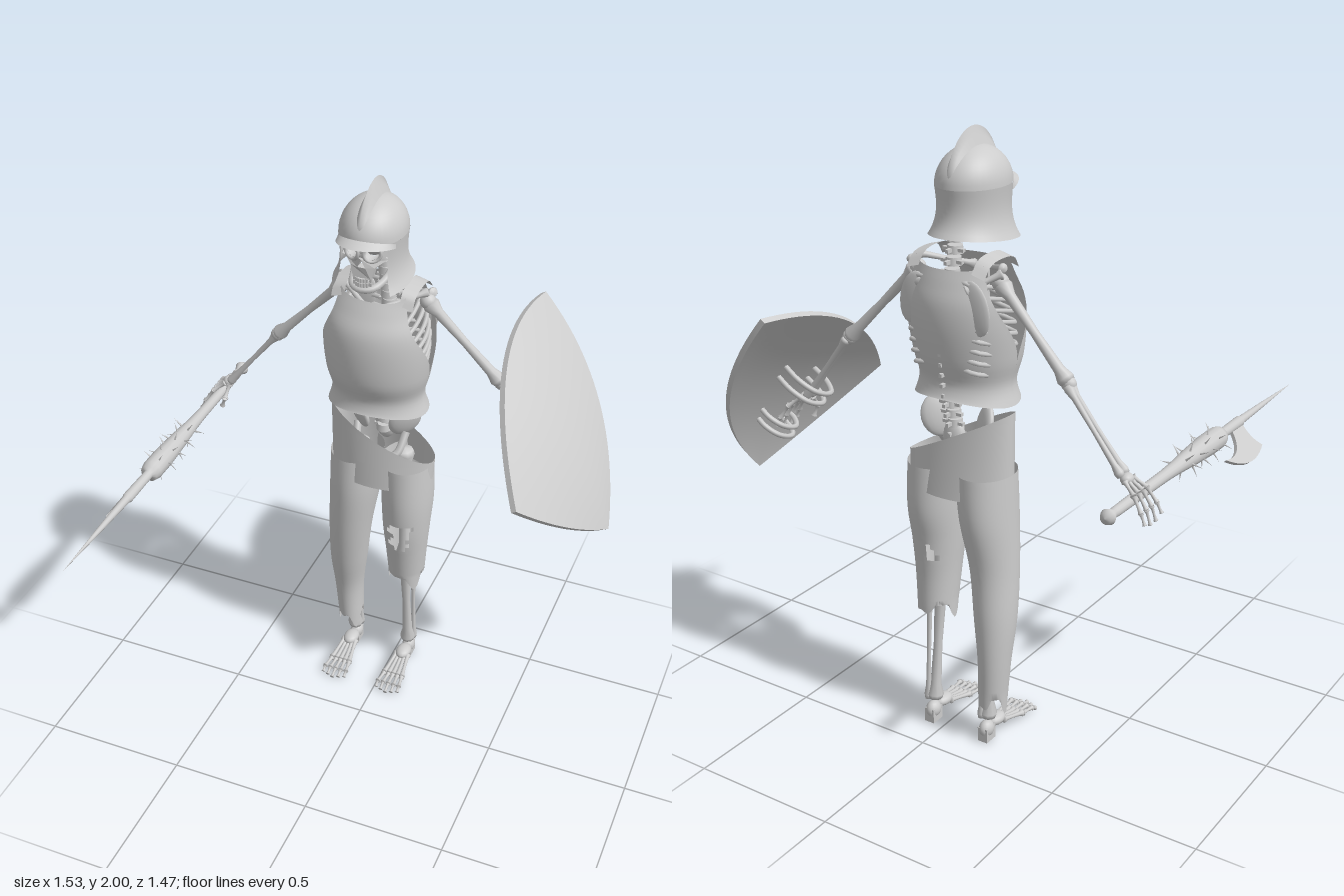
import * as THREE from 'three';

const mat = new THREE.MeshStandardMaterial({ color: 0xcccccc, side: THREE.DoubleSide });
mat.name = 'pale grey';
const V = (x, y, z) => new THREE.Vector3(x, y, z);
const CX = -0.055; // body centre line
const { smoothstep, lerp } = THREE.MathUtils;

function add(parent, geo, name) {
  const m = new THREE.Mesh(geo, mat);
  m.name = name;
  parent.add(m);
  return m;
}
function part(parent, name) {
  const g = new THREE.Group();
  g.name = name;
  parent.add(g);
  return g;
}
// Surface from a rule fn(u, v); keep() can leave cells out
function grid(fn, nu, nv, wrap = false, keep = () => true) {
  const w = wrap ? nu : nu + 1, pos = [], idx = [];
  for (let j = 0; j <= nv; j++) for (let i = 0; i < w; i++) pos.push(...fn(i / nu, j / nv));
  for (let j = 0; j < nv; j++) for (let i = 0; i < nu; i++) {
    if (!keep(i, j)) continue;
    const a = j * w + i, b = j * w + (i + 1) % w, c = a + w, d = b + w;
    idx.push(a, b, d, a, d, c);
  }
  const g = new THREE.BufferGeometry();
  g.setAttribute('position', new THREE.Float32BufferAttribute(pos, 3));
  g.setIndex(idx);
  g.computeVertexNormals();
  return g;
}
// Smooth interpolation through rows of numbers
function sample(rows, t) {
  const n = rows.length - 1, k = Math.min(Math.floor(t * n), n - 1), f = t * n - k;
  const r = i => rows[Math.max(0, Math.min(n, i))];
  return rows[k].map((b, i) => {
    const a = r(k - 1)[i], c = r(k + 1)[i], d = r(k + 2)[i];
    return 0.5 * (2 * b + (c - a) * f + (2 * a - 5 * b + 4 * c - d) * f * f + (3 * b - a - 3 * c + d) * f ** 3);
  });
}
function bone(parent, a, b, r, name) {
  const L = a.distanceTo(b), p = [[0, 0], [1.5, .01], [1.8, .05], [1.1, .14], [.85, .5], [1.1, .86], [1.7, .95], [1.4, .99], [0, 1]];
  const m = add(parent, new THREE.LatheGeometry(p.map(q => new THREE.Vector2(q[0] * r, q[1] * L)), 10), name);
  m.position.copy(a);
  m.quaternion.setFromUnitVectors(V(0, 1, 0), b.clone().sub(a).normalize());
}
const tube = (parent, pts, r, name, n = 16) =>
  add(parent, new THREE.TubeGeometry(new THREE.CatmullRomCurve3(pts), n, r, 6), name);
function ball(parent, p, sx, sy, sz, name) {
  const m = add(parent, new THREE.SphereGeometry(1, 16, 10), name);
  m.position.copy(p);
  m.scale.set(sx, sy, sz);
  return m;
}
function box(parent, p, sx, sy, sz, name) {
  add(parent, new THREE.BoxGeometry(sx, sy, sz), name).position.copy(p);
}

function helmet(root) {
  const g = part(root, 'helmet'), cx = -0.063, cz = -0.265, rx = 0.108, rz = 0.135;
  const at = (th, k, y) => [cx + rx * k * Math.sin(th), y, cz + rz * k * Math.cos(th)];
  add(g, grid((u, v) => at(u * 2 * Math.PI, Math.cos(v * Math.PI / 2), 1.835 + 0.115 * Math.sin(v * Math.PI / 2)), 36, 12, true), 'dome');
  // cheek and neck guard, open at the face
  add(g, grid((u, v) => {
    const th = lerp(0.85, 2 * Math.PI - 0.85, u), back = (1 - Math.cos(th)) / 2;
    return at(th, 1 - 0.05 * Math.sin(v * Math.PI) + 0.18 * v ** 4, 1.835 - v * (0.175 - 0.035 * back));
  }, 36, 10), 'neckGuard');
  add(g, grid((u, v) => {
    const th = (u - 0.5) * 2.2;
    return at(th, 1 + 0.27 * v * Math.cos(th * 1.4), 1.855 - 0.015 * v - 0.05 * (1 - Math.cos(th)));
  }, 20, 3), 'brim');
  // crest ridge with a sharp top
  add(g, grid((u, v) => {
    const e = lerp(0.3, Math.PI - 0.15, u), s = v * 2 - 1, h = (1 - Math.abs(s)) * Math.sin(u * Math.PI) ** 0.5;
    return [cx + s * 0.024, 1.83 + (0.112 + 0.06 * h) * Math.sin(e), cz + (0.125 + 0.025 * h) * Math.cos(e)];
  }, 28, 4), 'crest');
}

function skull(root) {
  const g = part(root, 'skull'), x = -0.063;
  ball(g, V(x, 1.83, -0.285), 0.078, 0.085, 0.1, 'cranium');
  // face plate with sockets and nose opening, bent round the head
  const s = new THREE.Shape();
  s.moveTo(-0.03, -0.09);
  s.lineTo(0.03, -0.09); s.lineTo(0.04, -0.05); s.lineTo(0.07, -0.03); s.lineTo(0.075, 0.04);
  s.lineTo(-0.075, 0.04); s.lineTo(-0.07, -0.03); s.lineTo(-0.04, -0.05);
  for (const k of [-1, 1]) s.holes.push(new THREE.Path().absellipse(k * 0.034, 0, 0.025, 0.02, 0, 2 * Math.PI));
  s.holes.push(new THREE.Path([[-0.013, -0.05], [0, -0.022], [0.013, -0.05]].map(p => new THREE.Vector2(...p))));
  const f = new THREE.ExtrudeGeometry(s, { depth: 0.03, bevelEnabled: false, curveSegments: 14 }), p = f.attributes.position;
  for (let i = 0; i < p.count; i++) p.setZ(i, p.getZ(i) - p.getX(i) ** 2 * 8);
  f.computeVertexNormals();
  add(g, f, 'face').position.set(x, 1.8, -0.185);
  for (const k of [-1, 1]) {
    const m = add(g, new THREE.TorusGeometry(0.027, 0.006, 6, 18), 'eyeRim');
    m.position.set(x + k * 0.034, 1.8, -0.163);
    m.rotation.y = k * 0.4;
    tube(g, [V(x + k * 0.068, 1.775, -0.19), V(x + k * 0.08, 1.775, -0.24), V(x + k * 0.075, 1.79, -0.29)], 0.008, 'cheekBone');
  }
  tube(g, [V(x - .065, 1.77, -.27), V(x - .06, 1.7, -.25), V(x - .035, 1.675, -.175), V(x, 1.67, -.16),
    V(x + .035, 1.675, -.175), V(x + .06, 1.7, -.25), V(x + .065, 1.77, -.27)], 0.012, 'jaw', 32);
  for (let i = -3; i <= 3; i++) for (const y of [1.705, 1.689])
    box(g, V(x + i * 0.009, y, -0.157 - i * i * 0.0015), 0.007, 0.014, 0.008, 'tooth');
}

function torso(root) {
  const g = part(root, 'ribcage');
  for (let i = 0; i < 20; i++) {
    const y = 1.04 + i * 0.034, z = -0.35 - 0.05 * Math.sin((y - 1.04) * 5);
    const v = add(g, new THREE.CylinderGeometry(0.024, 0.027, 0.025, 10), 'vertebra');
    v.position.set(CX, y, z);
    box(g, V(CX, y, z - 0.025), 0.01, 0.012, 0.04, 'spine');
    box(g, V(CX, y, z - 0.008), 0.075, 0.01, 0.014, 'spineWing');
  }
  box(g, V(CX, 1.47, -0.2), 0.03, 0.16, 0.012, 'breastBone');
  for (const s of [-1, 1]) {
    const X = d => CX + s * d;
    for (let i = 0; i < 9; i++) {
      const y = 1.58 - i * 0.034, w = 0.1 + 0.055 * Math.sin((i + 1) * 0.28);
      tube(g, [V(X(0.02), y, -0.4), V(X(w * 0.8), y - 0.01, -0.415), V(X(w), y - 0.04, -0.31), V(X(w * 0.75), y - 0.07, -0.21), V(X(0.015), y - 0.06, -0.19)], 0.008, 'rib', 20);
    }
    bone(g, V(X(0.015), 1.57, -0.22), V(X(0.155), 1.61, -0.33), 0.009, 'collarBone');
    const b = ball(g, V(X(0.11), 1.5, -0.415), 0.05, 0.085, 0.012, 'shoulderBlade');
    b.rotation.z = s * 0.25;
    bone(g, V(X(0.08), 1.55, -0.42), V(X(0.165), 1.6, -0.35), 0.01, 'shoulderSpine');
    const w = ball(g, V(X(0.085), 1.1, -0.33), 0.06, 0.07, 0.02, 'hipBone');
    w.rotation.set(0.3, s * 0.7, -s * 0.4);
    tube(g, [V(X(0.09), 1.05, -0.33), V(X(0.07), 0.98, -0.28), V(X(0.005), 0.97, -0.26)], 0.014, 'pubicBone');
  }
  ball(g, V(CX, 1.05, -0.37), 0.04, 0.07, 0.025, 'sacrum');
}

function breastplate(root) {
  const g = part(root, 'breastplate');
  // y, half width, front z, back z
  const rows = [[1.175, .175, -.16, -.435], [1.24, .16, -.17, -.42], [1.32, .178, -.145, -.44], [1.42, .19, -.14, -.455], [1.5, .188, -.15, -.455], [1.56, .17, -.18, -.44], [1.605, .152, -.205, -.425]];
  for (const f of [1, -1]) add(g, grid((u, v) => {
    const [y, rx, zf, zb] = sample(rows, v), s = u * 2 - 1;
    const th = s * (Math.PI / 2 - (f > 0 ? 0.75 : 0.65) * smoothstep(y, 1.31, 1.56));
    const mid = (zf + zb) / 2, rz = (zf - zb) / 2;
    return [CX + rx * Math.sin(th), y + v ** 6 * 0.02 * s ** 4 + (1 - v) ** 8 * 0.025 * Math.cos(th) ** 2, mid + f * rz * Math.cos(th)];
  }, 28, 28), f > 0 ? 'frontPlate' : 'backPlate');
  for (const s of [-1, 1]) {
    const c = new THREE.CatmullRomCurve3([V(0, 1.6, -.225), V(0, 1.635, -.25), V(0, 1.645, -.31), V(0, 1.635, -.375), V(0, 1.6, -.41)]);
    add(g, grid((u, v) => { const p = c.getPoint(u); return [CX + s * (0.095 + 0.045 * v), p.y - 0.012 * v, p.z]; }, 14, 2), 'shoulderStrap');
  }
}

function trousers(root) {
  const g = part(root, 'trousers');
  // seat with a slanting waist
  add(g, grid((u, v) => {
    const th = u * 2 * Math.PI, x = -0.045 + (0.183 + 0.006 * v) * Math.sin(th), c = Math.cos(th);
    const top = 1.06 - 0.5 * (x + 0.045);
    return [x, lerp(0.87, top, v), -0.32 + c * (0.112 - (c < 0 ? 0.02 : 0.012) * v)];
  }, 40, 10, true), 'seat');
  // y, x, half width, z, half depth
  const legs = {
    rightLeg: [[.95, -.14, .092, -.32, .108], [.8, -.148, .088, -.32, .112], [.62, -.165, .076, -.315, .09], [.45, -.178, .067, -.33, .078], [.3, -.183, .052, -.345, .062], [.15, -.176, .045, -.345, .055]],
    leftLeg: [[.95, .045, .092, -.32, .108], [.8, .05, .09, -.32, .112], [.68, .05, .083, -.315, .098], [.56, .05, .073, -.32, .082], [.44, .049, .064, -.33, .073]],
  };
  for (const [name, rows] of Object.entries(legs)) {
    const tear = name === 'leftLeg';
    add(g, grid((u, v) => {
      const [y, x, rx, z, rz] = sample(rows, v), th = u * 2 * Math.PI;
      const rag = v > 0.99 ? 0.02 * Math.sin(th * 5) + 0.03 * Math.cos(th * 3 + 1) : 0;
      return [x + rx * Math.sin(th), y + rag, z + rz * Math.cos(th)];
    }, 36, 24, true, (i, j) => {
      const front = j > 9 && j < 16 && (i > 34 - (j % 3) || i < 3 - (j % 2) + (j < 12 ? 1 : 0));
      const back = j > 11 && j < 15 && i > 18 && i < 18 + (j - 10);
      return !(tear && (front || back));
    }), name);
  }
}

function leg(root, name, hip, knee, ankle) {
  const g = part(root, name), off = (p, x, y, z) => p.clone().add(V(x, y, z));
  bone(g, hip, knee, 0.02, 'thighBone');
  ball(g, off(knee, 0, -0.01, 0.02), 0.026, 0.028, 0.018, 'kneeCap');
  bone(g, off(knee, 0, -0.02, 0), ankle, 0.017, 'shinBone');
  bone(g, off(knee, 0.02, -0.04, -0.035), off(ankle, 0.017, 0, -0.015), 0.008, 'calfBone');
  ball(g, off(ankle, 0, -0.035, -0.01), 0.024, 0.03, 0.03, 'heel');
  box(g, V(ankle.x, 0.025, -0.365), 0.036, 0.05, 0.05, 'heelBase');
  ball(g, off(ankle, 0, -0.025, 0.045), 0.028, 0.02, 0.04, 'instep');
  for (let i = -2; i <= 2; i++) {
    const x = ankle.x + i * 0.011, tx = ankle.x + i * 0.021, tz = -0.115 - 0.008 * Math.abs(i);
    bone(g, V(x, 0.045, -0.3), V(lerp(x, tx, .65), 0.022, -0.2), 0.007, 'footBone');
    bone(g, V(lerp(x, tx, .65), 0.02, -0.2), V(tx, 0.018, -0.15), 0.006, 'toe');
    bone(g, V(tx, 0.018, -0.15), V(tx, 0.006, tz), 0.005, 'toeTip');
  }
}

function arm(root, name, s, shoulder, elbow, wrist) {
  const g = part(root, name), at = (x, y, z) => wrist.clone().add(V(s * x, y, z));
  ball(g, shoulder, 0.027, 0.027, 0.027, 'shoulderJoint');
  bone(g, shoulder, elbow, 0.016, 'upperArm');
  ball(g, elbow, 0.024, 0.024, 0.022, 'elbow');
  bone(g, elbow, at(0, 0, 0.013), 0.01, 'forearm');
  bone(g, elbow.clone().add(V(0, 0, -0.012)), at(0, 0, -0.013), 0.009, 'forearm');
  ball(g, at(0.01, -0.005, 0), 0.02, 0.018, 0.024, 'wrist');
  for (let i = 0; i < 4; i++) {
    const k = i - 1.5, p = [at(0.015, -0.005, k * 0.015), at(0.055, -0.035, k * 0.026), at(0.085, -0.08, k * 0.032), at(0.1, -0.125 + 0.006 * k * k, k * 0.034)];
    for (let j = 0; j < 3; j++) bone(g, p[j], p[j + 1], 0.0065 - j * 0.001, 'finger');
  }
  bone(g, at(0, -0.01, 0.02), at(0.005, -0.05, 0.05), 0.007, 'thumb');
  bone(g, at(0.005, -0.05, 0.05), at(0.02, -0.09, 0.045), 0.006, 'thumb');
}

function weapon(root) {
  const g = part(root, 'weapon');
  g.position.set(-0.69, 1.015, 0);
  const p = [[0, -.55], [.018, -.545], [.025, -.53], [.014, -.505], [.016, -.49], [.019, -.2], [.022, -.13], [.03, -.03], [.036, .08], [.036, .16], [.03, .18], [.016, .185], [.018, .325], [.014, .335], [.009, .5], [0, .735]];
  add(g, new THREE.LatheGeometry(p.map(q => new THREE.Vector2(...q)), 14).rotateX(Math.PI / 2), 'shaft');
  for (let i = 0; i < 26; i++) {
    const a = i * 2.4, c = add(g, new THREE.ConeGeometry(0.004, 0.04, 5), 'thorn'), d = V(Math.cos(a), Math.sin(a), 0);
    c.position.copy(d).multiplyScalar(0.045).setZ(-0.1 + i * 0.0098);
    c.quaternion.setFromUnitVectors(V(0, 1, 0), d);
  }
  const s = new THREE.Shape();
  s.moveTo(0.25, 0);
  s.lineTo(0.325, 0);
  s.quadraticCurveTo(0.31, 0.06, 0.355, 0.105);
  s.quadraticCurveTo(0.23, 0.16, 0.125, 0.075);
  s.quadraticCurveTo(0.23, 0.1, 0.25, 0);
  const blade = new THREE.ExtrudeGeometry(s, { depth: 0.012, bevelEnabled: false }).translate(0, 0, -0.006);
  const d = V(-0.65, -0.76, 0).normalize();
  add(g, blade.applyMatrix4(new THREE.Matrix4().makeBasis(V(0, 0, 1), d, V(0, 0, 1).cross(d))), 'axeBlade');
}

function shield(root) {
  const g = part(root, 'shield'), n = V(0.85, 0.52, 0.08).normalize();
  const A = V(.38, 1.46, -.735), B = V(.53, 1.08, -.005), C = V(.755, .79, -.4);
  const q = (a, m, b, t) => V(0, 0, 0).addScaledVector(a, 2 * t * t - 3 * t + 1).addScaledVector(m, 4 * t - 4 * t * t).addScaledVector(b, 2 * t * t - t);
  const mid = t => q(V(.365, 1.37, -.37), V(.6, 1.11, -.42), C, t);
  const face = (u, v, d) => q(q(A, V(.62, 1.12, -.66), C, v), mid(v), q(B, V(.66, .92, -.19), C, v), u).addScaledVector(n, -d).toArray();
  add(g, grid((u, v) => face(u, v, 0), 24, 24), 'shieldFront');
  add(g, grid((u, v) => face(1 - u, v, 0.02), 24, 24), 'shieldBack');
  add(g, grid((u, v) => face(u, 0, v * 0.02), 24, 1), 'topRim');
  for (const s of [0, 1]) add(g, grid((u, v) => face(s, u, v * 0.02), 24, 1), 'sideRim');
  // arm loop and hand grip
  for (const [t, w, h] of [[.35, .07, .14], [.42, .07, .14], [.64, .06, .1], [.7, .06, .1]]) {
    const at = (z, d) => mid(t).addScaledVector(n, -d).add(V(0, -z * 0.35, z));
    tube(g, [at(-w, 0.01), at(-w, h * .6), at(-w * .5, h), at(w * .5, h), at(w, h * .6), at(w, 0.01)], 0.009, 'strap', 24);
  }
}

export function createModel() {
  const root = new THREE.Group();
  root.name = 'skeletonWarrior';
  helmet(root);
  skull(root);
  torso(root);
  breastplate(root);
  trousers(root);
  leg(root, 'rightLegBones', V(-.13, .98, -.33), V(-.165, .5, -.32), V(-.163, .075, -.355));
  leg(root, 'leftLegBones', V(.03, .98, -.33), V(.045, .5, -.32), V(.052, .075, -.355));
  arm(root, 'rightArm', -1, V(-.205, 1.57, -.34), V(-.455, 1.31, -.36), V(-.65, 1.07, -.37));
  arm(root, 'leftArm', 1, V(.095, 1.57, -.34), V(.35, 1.305, -.365), V(.53, 1.07, -.37));
  weapon(root);
  shield(root);
  return root;
}
